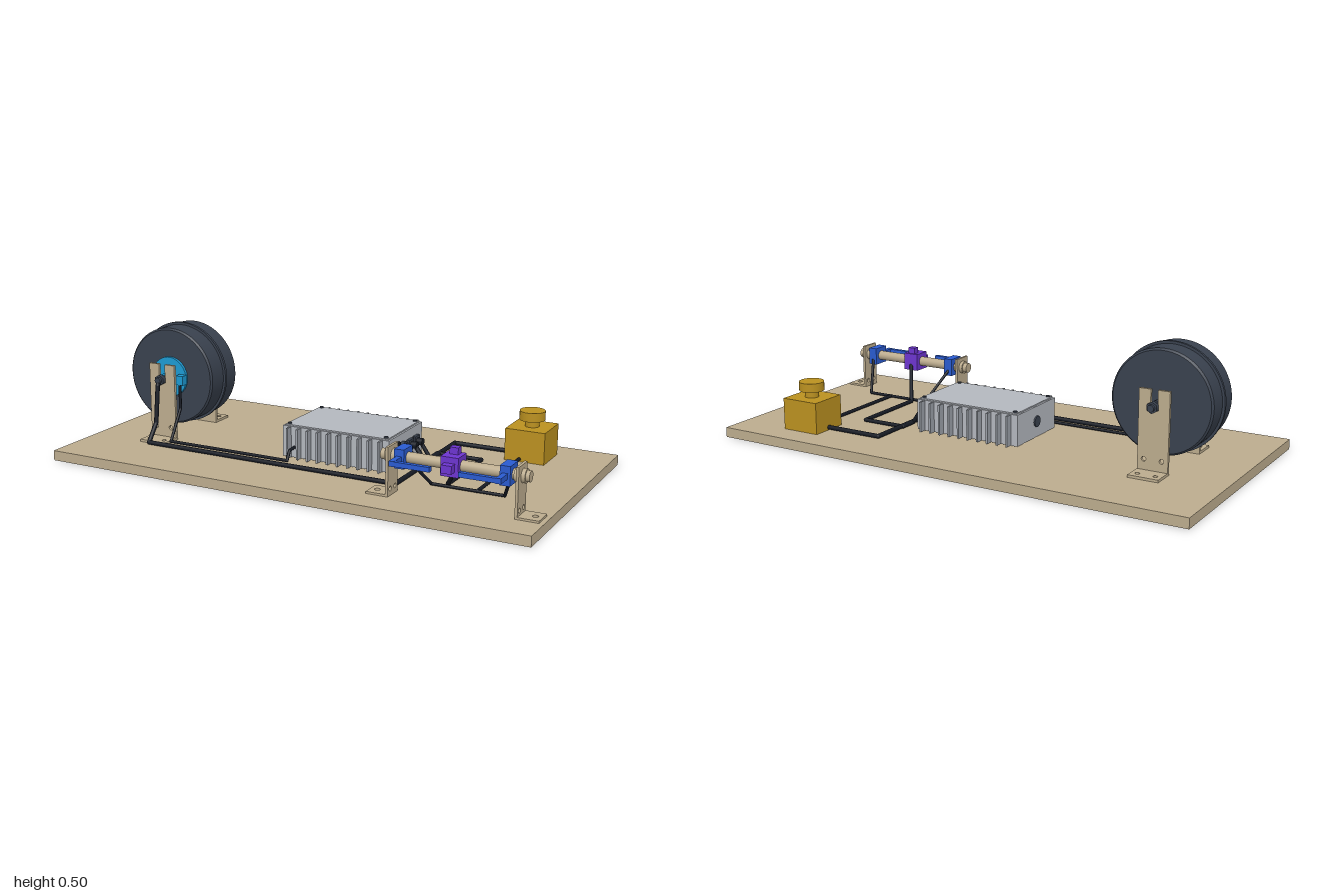
import * as THREE from 'three';
import { mergeGeometries } from 'three/addons/utils/BufferGeometryUtils.js';

const mat = (color) => new THREE.MeshStandardMaterial({ color });
const M = {
  tan: mat(0xbcac8e), dark: mat(0x39414e), black: mat(0x171b24), metal: mat(0xb3b7be), fin: mat(0x9ca1a9),
  sky: mat(0x1e9ad2), blue: mat(0x2a5bd0), purple: mat(0x6d35d0), yellow: mat(0xbb9120),
};
const V = (p) => new THREE.Vector3(...p);

export function createModel() {
  const root = new THREE.Group();
  const group = (name, parent = root) => {
    const g = new THREE.Group();
    g.name = name;
    parent.add(g);
    return g;
  };
  const add = (parent, name, geo, m) => {
    const mesh = new THREE.Mesh(geo, m);
    mesh.name = name;
    parent.add(mesh);
    return mesh;
  };
  // Box given by its limits on each axis
  const box = (parent, name, m, x0, x1, y0, y1, z0, z1) => {
    const g = new THREE.BoxGeometry(x1 - x0, y1 - y0, z1 - z0);
    return add(parent, name, g.translate((x0 + x1) / 2, (y0 + y1) / 2, (z0 + z1) / 2), m);
  };
  // Cylinder centred on a point, along one axis
  const cyl = (parent, name, m, axis, r, len, x, y, z, sides = 32) => {
    const g = new THREE.CylinderGeometry(r, r, len, sides);
    if (axis === 'x') g.rotateZ(Math.PI / 2);
    if (axis === 'z') g.rotateX(Math.PI / 2);
    return add(parent, name, g.translate(x, y, z), m);
  };
  // Cable of straight runs with round joints
  const cable = (parent, name, r, pts) => {
    const parts = [];
    pts.forEach((p, i) => {
      const a = V(p);
      parts.push(new THREE.SphereGeometry(r, 12, 8).translate(...p));
      if (i === pts.length - 1) return;
      const d = V(pts[i + 1]).sub(a);
      const g = new THREE.CylinderGeometry(r, r, d.length(), 12);
      g.applyQuaternion(new THREE.Quaternion().setFromUnitVectors(V([0, 1, 0]), d.clone().normalize()));
      g.translate(...a.addScaledVector(d, 0.5).toArray());
      parts.push(g);
    });
    add(parent, name, mergeGeometries(parts), M.black);
  };
  // Flat plate with round holes, extruded along z from 0
  const plate = (outline, holes, depth) => {
    const s = new THREE.Shape(outline.map((p) => new THREE.Vector2(...p)));
    holes.forEach(([x, y, r]) => s.holes.push(new THREE.Path().absarc(x, y, r, 0, Math.PI * 2, true)));
    return new THREE.ExtrudeGeometry(s, { depth, bevelEnabled: false, curveSegments: 16 });
  };
  const rect = (x0, x1, y0, y1) => [[x0, y0], [x1, y0], [x1, y1], [x0, y1]];

  // Base board with drilled mounting holes
  const holes = [];
  for (const s of [-1, 1]) {
    holes.push([-0.745, s * 0.2, 0.008], [-0.675, s * 0.2, 0.008]);
    holes.push([-0.12, s * 0.11, 0.008], [0.27, s * 0.11, 0.008]);
  }
  holes.push([0.35, -0.33, 0.008], [0.955, -0.33, 0.008]);
  add(root, 'baseBoard', plate(rect(-1, 1, -0.5, 0.5), holes, 0.04).rotateX(-Math.PI / 2), M.tan);

  // Hub motor wheel
  const wheel = group('wheel');
  wheel.position.set(-0.71, 0.29, 0);
  const prof = [[0, -0.092], [0.192, -0.092], [0.199, -0.085], [0.199, -0.006], [0.209, -0.006], [0.209, 0.006],
    [0.199, 0.006], [0.199, 0.085], [0.192, 0.092], [0, 0.092]];
  // Each profile run is its own lathe, so edges stay sharp
  const runs = prof.slice(1).map((p, i) =>
    new THREE.LatheGeometry([prof[i], p].map((q) => new THREE.Vector2(...q)), 72));
  add(wheel, 'wheelDrum', mergeGeometries(runs).rotateX(Math.PI / 2), M.dark);
  cyl(wheel, 'sensorDisc', M.sky, 'z', 0.082, 0.012, 0, 0, 0.098, 48);
  cyl(wheel, 'sensorHub', M.sky, 'z', 0.02, 0.03, 0, 0, 0.125);
  box(wheel, 'sensorBlock', M.sky, 0.055, 0.09, -0.02, 0.018, 0.11, 0.14);
  cyl(wheel, 'axle', M.dark, 'z', 0.013, 0.375, 0, 0, 0, 24);
  for (const s of [-1, 1]) {
    cyl(wheel, 'axleNut', M.dark, 'z', 0.022, 0.018, 0, 0, s * 0.167, 6);
    cyl(wheel, 'axleSpacer', M.dark, 'z', 0.018, 0.02, 0, 0, s * 0.128, 24);
  }

  // Slotted wheel brackets, front and back
  const slot = [[-0.06, 0.04], [0.06, 0.04], [0.06, 0.352], [0.014, 0.352], [0.014, 0.276], [-0.014, 0.276],
    [-0.014, 0.352], [-0.06, 0.352]];
  for (const s of [-1, 1]) {
    const b = group(s > 0 ? 'frontWheelBracket' : 'backWheelBracket');
    b.position.x = -0.71;
    const upright = plate(slot, [[-0.035, 0.09, 0.009], [0.035, 0.09, 0.009]], 0.012);
    add(b, 'bracketUpright', upright.translate(0, 0, s * 0.148 - 0.006), M.tan);
    const foot = plate(rect(-0.06, 0.06, -0.042, 0.042), [[-0.035, -s * 0.01, 0.009], [0.035, -s * 0.01, 0.009]], 0.01);
    add(b, 'bracketFoot', foot.rotateX(-Math.PI / 2).translate(0, 0.04, s * 0.194), M.tan);
  }

  // Motor controller: finned case, lid, screws and feet
  const ctl = group('controller');
  box(ctl, 'controllerCase', M.metal, -0.148, 0.31, 0.048, 0.172, -0.148, 0.148);
  box(ctl, 'controllerLid', M.metal, -0.14, 0.302, 0.172, 0.177, -0.142, 0.142);
  for (const s of [-1, 1]) {
    for (let i = 0; i < 10; i++) {
      const x = -0.115 + i * 0.0437;
      box(ctl, 'coolingFin', M.fin, x - 0.004, x + 0.004, 0.048, 0.17, s * 0.16 - 0.016, s * 0.16 + 0.016);
    }
    for (const x of [-0.127, 0.289]) {
      cyl(ctl, 'lidScrew', M.dark, 'y', 0.008, 0.006, x, 0.179, s * 0.129, 16);
      cyl(ctl, 'controllerFoot', M.dark, 'y', 0.016, 0.01, x * 0.9, 0.044, s * 0.11, 16);
    }
  }
  cyl(ctl, 'endPort', M.dark, 'x', 0.022, 0.008, -0.15, 0.112, 0, 24);
  box(ctl, 'powerSwitch', M.black, 0.31, 0.322, 0.08, 0.15, 0.07, 0.106);
  box(ctl, 'switchRocker', M.dark, 0.32, 0.345, 0.092, 0.138, 0.077, 0.099);
  cyl(ctl, 'roundSocket', M.dark, 'x', 0.026, 0.014, 0.317, 0.115, 0.03, 32);
  cyl(ctl, 'roundPlug', M.black, 'x', 0.017, 0.035, 0.329, 0.115, 0.03, 24);
  for (const z of [-0.028, -0.081]) {
    box(ctl, 'squareSocket', M.dark, 0.31, 0.323, 0.094, 0.135, z - 0.02, z + 0.02);
    cyl(ctl, 'squarePlug', M.black, 'x', 0.014, 0.035, 0.329, 0.113, z, 24);
  }

  // Handlebar on two angle brackets
  const bar = group('handlebar');
  const BY = 0.186, BZ = 0.333;
  cyl(bar, 'barTube', M.tan, 'x', 0.02, 0.56, 0.653, BY, BZ, 36);
  for (const [s, x, side] of [[-1, 0.411, 'right'], [1, 0.899, 'left']]) {
    const b = group(side + 'BarBracket', bar);
    const up = plate(rect(-0.041, 0.041, 0.04, 0.226), [[-0.02, 0.066, 0.009], [0.02, 0.066, 0.009]], 0.01);
    add(b, 'bracketUpright', up.rotateY(Math.PI / 2).translate(x - 0.005, 0, BZ + 0.003), M.tan);
    const foot = plate(rect(-0.041, 0.041, -0.041, 0.041), [[s * 0.014, 0, 0.011]], 0.008);
    add(b, 'bracketFoot', foot.rotateX(-Math.PI / 2).translate(x + s * 0.042, 0.04, BZ + 0.003), M.tan);
    for (const d of [-0.013, 0.013]) cyl(b, 'barCollar', M.tan, 'x', 0.026, 0.014, x + d, BY, BZ, 32);

    // Brake clamp and its lever, reaching towards the middle
    const lever = group(side + 'BrakeLever', bar);
    const cx = s < 0 ? 0.455 : 0.852;
    box(lever, 'brakeClamp', M.blue, cx - 0.019, cx + 0.019, 0.15, 0.222, BZ - 0.037, BZ + 0.037);
    box(lever, 'leverArm', M.blue, cx - 0.01, cx + 0.01, 0.176, 0.196, BZ + 0.035, 0.433);
    const ex = cx - s * 0.145;
    box(lever, 'leverBlade', M.blue, Math.min(cx, ex), Math.max(cx, ex), 0.177, 0.195, 0.415, 0.433);
  }
  const th = group('throttle', bar);
  box(th, 'throttleBody', M.purple, 0.614, 0.681, 0.15, 0.222, BZ - 0.037, BZ + 0.037);
  box(th, 'throttleButton', M.purple, 0.632, 0.664, 0.222, 0.247, 0.304, 0.332);
  box(th, 'throttleThumbLever', M.purple, 0.628, 0.668, 0.17, 0.2, 0.368, 0.4);

  // Push button box
  const sw = group('pushButtonBox');
  box(sw, 'buttonHousing', M.yellow, 0.624, 0.785, 0.04, 0.167, -0.394, -0.235);
  cyl(sw, 'buttonStem', M.yellow, 'y', 0.028, 0.03, 0.705, 0.181, -0.314);
  cyl(sw, 'buttonCap', M.yellow, 'y', 0.05, 0.036, 0.705, 0.212, -0.314, 40);

  // Wiring along the board
  const w = group('cables');
  const y = 0.051;
  cable(w, 'motorCable', 0.009, [[0.335, 0.113, 0.03], [0.39, y, 0.03], [0.39, y, 0.258], [-0.71, y, 0.258],
    [-0.71, 0.12, 0.205], [-0.71, 0.27, 0.186], [-0.71, 0.29, 0.175]]);
  cable(w, 'sensorCable', 0.006, [[-0.098, 0.09, 0.14], [-0.098, 0.085, 0.185], [-0.098, y, 0.205], [-0.64, y, 0.205],
    [-0.64, 0.17, 0.132], [-0.64, 0.28, 0.13]]);
  cable(w, 'buttonCable', 0.009, [[0.335, 0.113, -0.028], [0.382, y, -0.028], [0.382, y, -0.316], [0.63, y, -0.316]]);
  cable(w, 'throttleCable', 0.008, [[0.335, 0.113, -0.081], [0.375, y, -0.085], [0.375, y, -0.157], [0.56, y, -0.157],
    [0.56, y, 0.17], [0.648, 0.17, 0.3]]);
  cable(w, 'brakeCable', 0.007, [[0.685, y, -0.24], [0.685, y, 0.195]]);
  cable(w, 'brakeBranches', 0.006, [[0.455, 0.17, 0.3], [0.505, y, 0.195], [0.79, y, 0.195], [0.852, 0.17, 0.3]]);

  return root;
}
